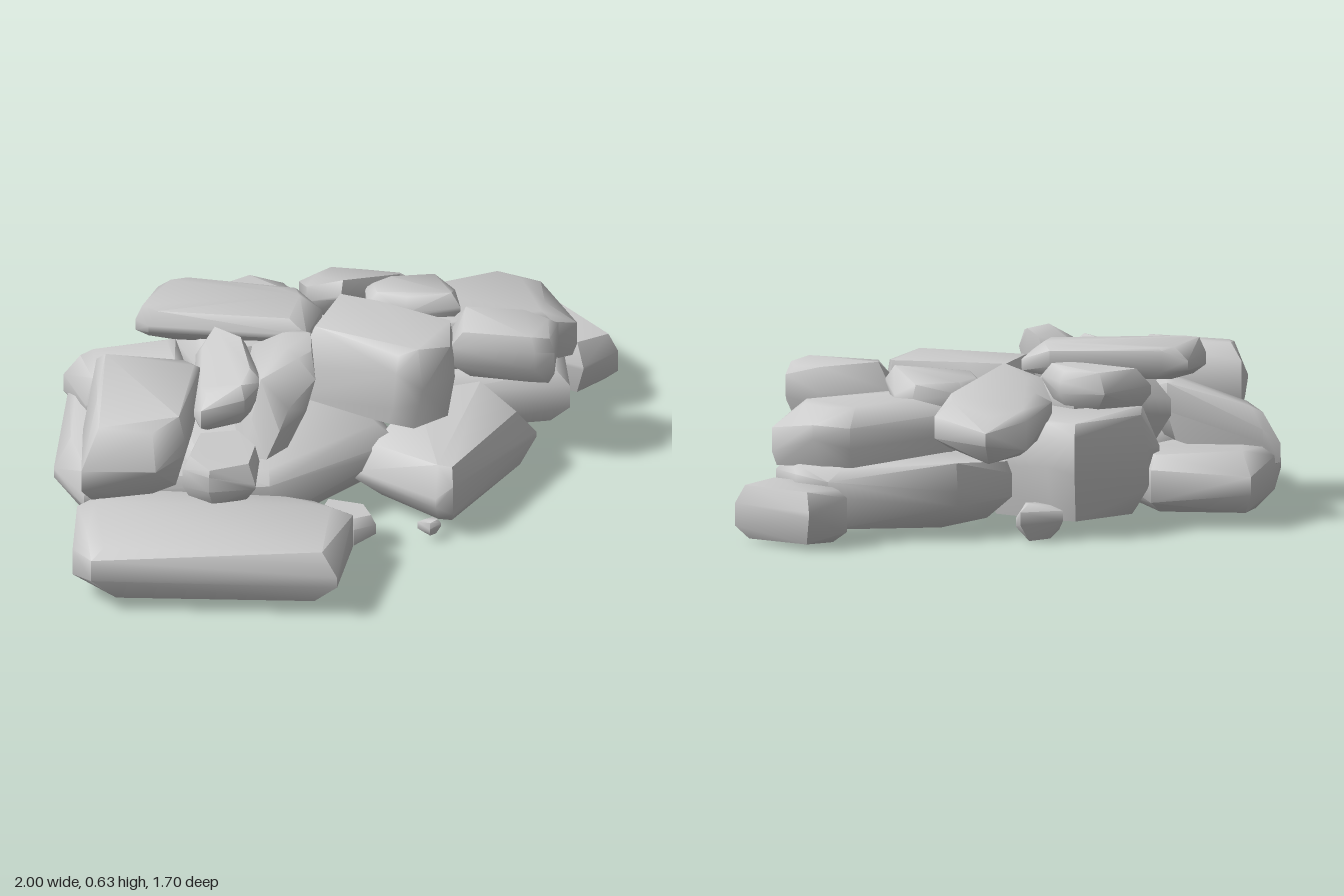
import * as THREE from 'three';
import { ConvexGeometry } from 'three/addons/geometries/ConvexGeometry.js';
import { toCreasedNormals } from 'three/addons/utils/BufferGeometryUtils.js';

const material = new THREE.MeshStandardMaterial({ color: 0xcccccc });

// small seeded generator so every stone is irregular but repeatable
function seeded(seed) {
  let s = seed * 7919 + 13;
  return () => (s = (s * 16807) % 2147483647) / 2147483647;
}

// A worn stone: footprint corners [x, z] stacked in rings between two heights.
// slope tips the stone along x and z, lean shifts its top sideways.
function stone(name, seed, y0, y1, outline, { slope = [0, 0], lean = [0, 0], top = 0.76, base = 0.76 } = {}) {
  const rand = seeded(seed);
  const cx = outline.reduce((a, p) => a + p[0], 0) / outline.length;
  const cz = outline.reduce((a, p) => a + p[1], 0) / outline.length;
  const rings = [[0, base], [0.4, 1], [0.68, 1], [1, top]];
  const points = [];
  for (const [t, scale] of rings) {
    for (const [x, z] of outline) {
      const k = scale === 1 ? 1 : scale + (rand() - 0.5) * 0.2;
      const dx = (x - cx) * k, dz = (z - cz) * k;
      const h = scale === 1 ? t + (rand() - 0.5) * 0.35 : Math.abs(t - rand() * 0.1);
      points.push(new THREE.Vector3(
        cx + dx + lean[0] * (t - 0.5),
        y0 + (y1 - y0) * h + slope[0] * dx + slope[1] * dz,
        cz + dz + lean[1] * (t - 0.5)));
    }
  }
  const mesh = new THREE.Mesh(toCreasedNormals(new ConvexGeometry(points), 0.95), material);
  mesh.name = name;
  return mesh;
}

export function createModel() {
  const group = new THREE.Group();
  group.name = 'rockPile';
  let seed = 1;
  const add = (name, y0, y1, outline, options) => group.add(stone(name, seed++, y0, y1, outline, options));

  // bottom course of broad slabs
  add('frontSlab', 0.045, 0.28,
    [[-1, 0.6], [-0.95, 0.72], [-0.12, 0.85], [-0.03, 0.53], [-0.15, 0.4], [-0.85, 0.3], [-0.96, 0.38]], { top: 0.84 });
  add('leftSlab', 0.045, 0.28,
    [[-1, 0.02], [-0.9, -0.4], [-0.78, -0.6], [-0.45, -0.51], [-0.38, -0.1], [-0.55, 0.28], [-0.92, 0.24]],
    { top: 0.88, base: 0.8 });
  add('middleSlab', 0.045, 0.31,
    [[-0.62, -0.15], [-0.35, -0.4], [0.05, -0.3], [0.18, 0.08], [-0.3, 0.38], [-0.55, 0.3]], { top: 0.86 });
  add('rightSlab', 0.045, 0.28,
    [[0.02, 0.15], [0.27, 0.38], [0.33, 0.38], [0.66, -0.02], [0.5, -0.22], [0.25, -0.2]], { top: 0.85 });
  add('backRightSlab', 0.045, 0.28,
    [[0.04, -0.55], [0.25, -0.67], [0.7, -0.67], [0.8, -0.6], [0.8, -0.24], [0.3, -0.24], [0.06, -0.35]],
    { top: 0.88, base: 0.82 });
  add('backBlock', 0.05, 0.44,
    [[-0.5, -0.4], [-0.44, -0.5], [-0.14, -0.75], [-0.06, -0.66], [0.12, -0.35], [-0.1, -0.15], [-0.42, -0.22]],
    { top: 0.84, base: 0.74 });

  // second course
  add('leftBoulder', 0.27, 0.57,
    [[-0.84, -0.1], [-0.52, -0.02], [-0.5, 0.04], [-0.59, 0.38], [-0.7, 0.47], [-0.95, 0.42], [-0.92, 0.2]],
    { slope: [0.06, -0.08], top: 0.8, base: 0.8 });
  add('leaningLeftStone', 0.22, 0.45,
    [[-0.92, -0.4], [-0.86, -0.4], [-0.55, -0.27], [-0.52, -0.08], [-0.62, -0.03], [-0.87, -0.17]], { slope: [0.35, 0] });
  add('backStone', 0.34, 0.51,
    [[0.17, -0.76], [0.32, -0.61], [0.29, -0.55], [0.03, -0.38], [-0.08, -0.46], [-0.09, -0.6], [0.02, -0.72]],
    { slope: [-0.08, 0.48] });
  add('backRightStone', 0.27, 0.485,
    [[0.62, -0.65], [0.74, -0.6], [0.84, -0.38], [0.75, -0.31], [0.32, -0.23], [0.13, -0.32], [0.15, -0.5]],
    { slope: [-0.09, 0], base: 0.9 });
  add('middleBoulder', 0.27, 0.575,
    [[-0.15, -0.15], [-0.01, -0.37], [0.12, -0.33], [0.38, -0.15], [0.37, 0.01], [0.25, 0.1], [0.16, 0.08]],
    { lean: [0.04, 0], top: 0.82, base: 0.98 });
  add('innerStone', 0.28, 0.54,
    [[-0.55, -0.35], [-0.2, -0.42], [-0.08, -0.25], [-0.15, -0.08], [-0.5, -0.08]]);
  add('frontSmallStone', 0.25, 0.43,
    [[-0.6, 0.4], [-0.53, 0.24], [-0.38, 0.22], [-0.33, 0.34], [-0.36, 0.48], [-0.52, 0.49]], { top: 0.85 });
  add('uprightStone', 0.28, 0.65,
    [[-0.33, -0.05], [-0.19, -0.08], [-0.13, 0], [-0.14, 0.18], [-0.24, 0.25], [-0.33, 0.2]],
    { lean: [0.12, -0.08], top: 0.5, base: 0.85 });

  // capping stones
  add('topSlab', 0.5, 0.63,
    [[-0.69, -0.25], [-0.59, -0.45], [-0.5, -0.44], [-0.13, -0.34], [-0.05, -0.25], [-0.12, -0.08], [-0.65, -0.2]],
    { top: 0.84 });
  add('topBackStone', 0.43, 0.57,
    [[-0.46, -0.46], [-0.28, -0.56], [-0.14, -0.47], [-0.1, -0.35], [-0.2, -0.32]], { slope: [0, 0.15] });
  add('propStone', 0.42, 0.58,
    [[-0.5, -0.1], [-0.43, -0.18], [-0.33, -0.08], [-0.3, 0.17], [-0.37, 0.24], [-0.52, 0.24], [-0.54, 0.17]],
    { slope: [0.3, -0.1] });
  add('topRightStone', 0.41, 0.55,
    [[0.12, -0.46], [0.2, -0.52], [0.38, -0.52], [0.43, -0.46], [0.43, -0.29], [0.24, -0.29], [0.12, -0.36]],
    { slope: [0, 0.2] });
  add('rightCapStone', 0.36, 0.57,
    [[0.4, -0.25], [0.65, -0.22], [0.75, -0.15], [0.72, 0], [0.65, 0.02], [0.37, -0.07]], { top: 0.86 });

  // loose stones around the pile
  add('looseStone', 0.01, 0.225,
    [[0.65, -0.75], [0.8, -0.85], [1, -0.55], [0.87, -0.46], [0.66, -0.6]]);
  add('frontPebble', 0.01, 0.165,
    [[-0.14, 0.37], [-0.1, 0.28], [0.04, 0.34], [0.06, 0.43], [-0.02, 0.46]], { top: 0.75, base: 0.25 });
  add('smallPebble', 0.03, 0.09,
    [[0.21, 0.36], [0.27, 0.33], [0.29, 0.37], [0.25, 0.39]], { top: 0.6, base: 0.5 });
  add('backPebble', 0.01, 0.14,
    [[-0.1, -0.75], [0.05, -0.76], [0.05, -0.68], [-0.02, -0.64], [-0.1, -0.68]], { top: 0.6, base: 0.5 });

  return group;
}
